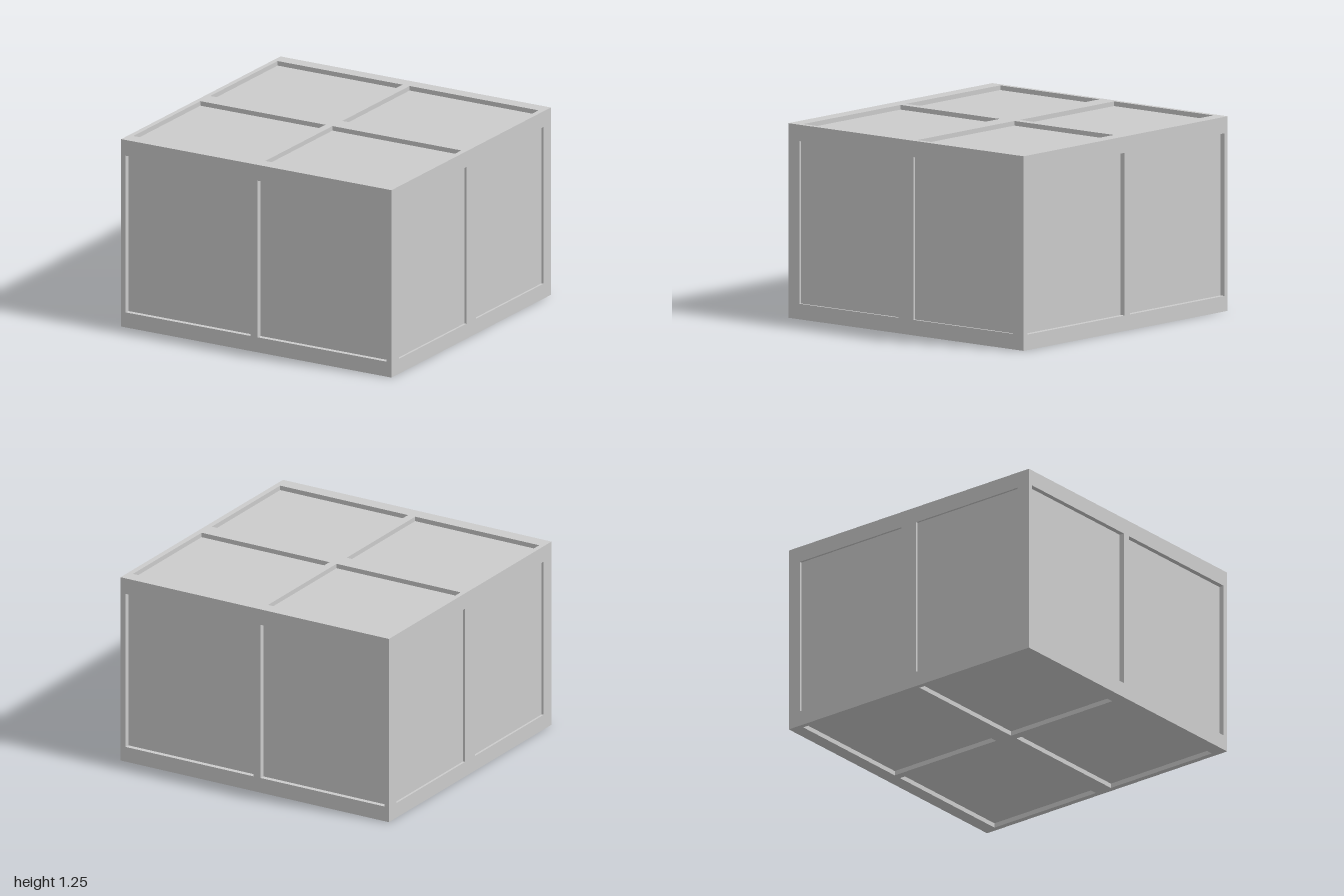
import * as THREE from 'three';
import { mergeVertices } from 'three/addons/utils/BufferGeometryUtils.js';

const material = new THREE.MeshStandardMaterial({ color: 0xcccccc, flatShading: true });

// Overall extents, panel spans and recess depth along each axis
const AXES = {
  x: { min: -1, max: 1, panels: [[-0.967, -0.043], [0.01, 0.963]], depth: 0.015 },
  y: { min: 0, max: 1.25, panels: [[0.1, 1.145]], depth: 0.03 },
  z: { min: -0.977, max: 0.977, panels: [[-0.887, -0.062], [0.06, 0.883]], depth: 0.033 },
};

// Each face: horizontal, vertical and outward axis, with their signs
const FACES = [
  ['front', 'x', 1, 'y', 1, 'z', 1],
  ['back', 'x', -1, 'y', 1, 'z', -1],
  ['right', 'z', -1, 'y', 1, 'x', 1],
  ['left', 'z', 1, 'y', 1, 'x', -1],
  ['top', 'x', 1, 'z', -1, 'y', 1],
  ['bottom', 'x', 1, 'z', 1, 'y', -1],
];

const flip = ([a, b], sign) => (sign > 0 ? [a, b] : [-b, -a]);

const unit = (axis, sign) => {
  const v = new THREE.Vector3();
  v[axis] = sign;
  return v;
};

function rectangle(path, [u0, u1], [v0, v1]) {
  path.moveTo(u0, v0);
  path.lineTo(u1, v0);
  path.lineTo(u1, v1);
  path.lineTo(u0, v1);
  path.closePath();
  return path;
}

// Open tray seen from inside: four walls and a floor
function trayGeometry([u0, u1], [v0, v1], depth) {
  const box = new THREE.BoxGeometry(u1 - u0, v1 - v0, depth);
  const index = Array.from(box.index.array);
  index.splice(24, 6); // remove the lid
  box.setIndex(index.reverse());
  box.deleteAttribute('normal');
  box.deleteAttribute('uv');
  const tray = mergeVertices(box).toNonIndexed();
  tray.computeVertexNormals();
  return tray.translate((u0 + u1) / 2, (v0 + v1) / 2, -depth / 2);
}

function createFace([name, u, us, v, vs, n, ns]) {
  const face = new THREE.Group();
  face.name = `${name}Face`;
  const span = (axis, sign) => flip([AXES[axis].min, AXES[axis].max], sign);
  const panels = (axis, sign) => AXES[axis].panels.map((p) => flip(p, sign));

  // Flat frame with an opening for every panel
  const shape = rectangle(new THREE.Shape(), span(u, us), span(v, vs));
  for (const pu of panels(u, us)) {
    for (const pv of panels(v, vs)) {
      shape.holes.push(rectangle(new THREE.Path(), pu, pv));
      const panel = new THREE.Mesh(trayGeometry(pu, pv, AXES[n].depth), material);
      panel.name = `${name}RecessedPanel`;
      face.add(panel);
    }
  }
  const frame = new THREE.Mesh(new THREE.ShapeGeometry(shape), material);
  frame.name = `${name}Frame`;
  face.add(frame);

  // Turn the face outward and move it to its side of the box
  const basis = new THREE.Matrix4().makeBasis(unit(u, us), unit(v, vs), unit(n, ns));
  face.quaternion.setFromRotationMatrix(basis);
  face.position[n] = ns > 0 ? AXES[n].max : AXES[n].min;
  return face;
}

export function createModel() {
  const model = new THREE.Group();
  model.name = 'panelledCrate';
  for (const face of FACES) model.add(createFace(face));
  return model;
}
